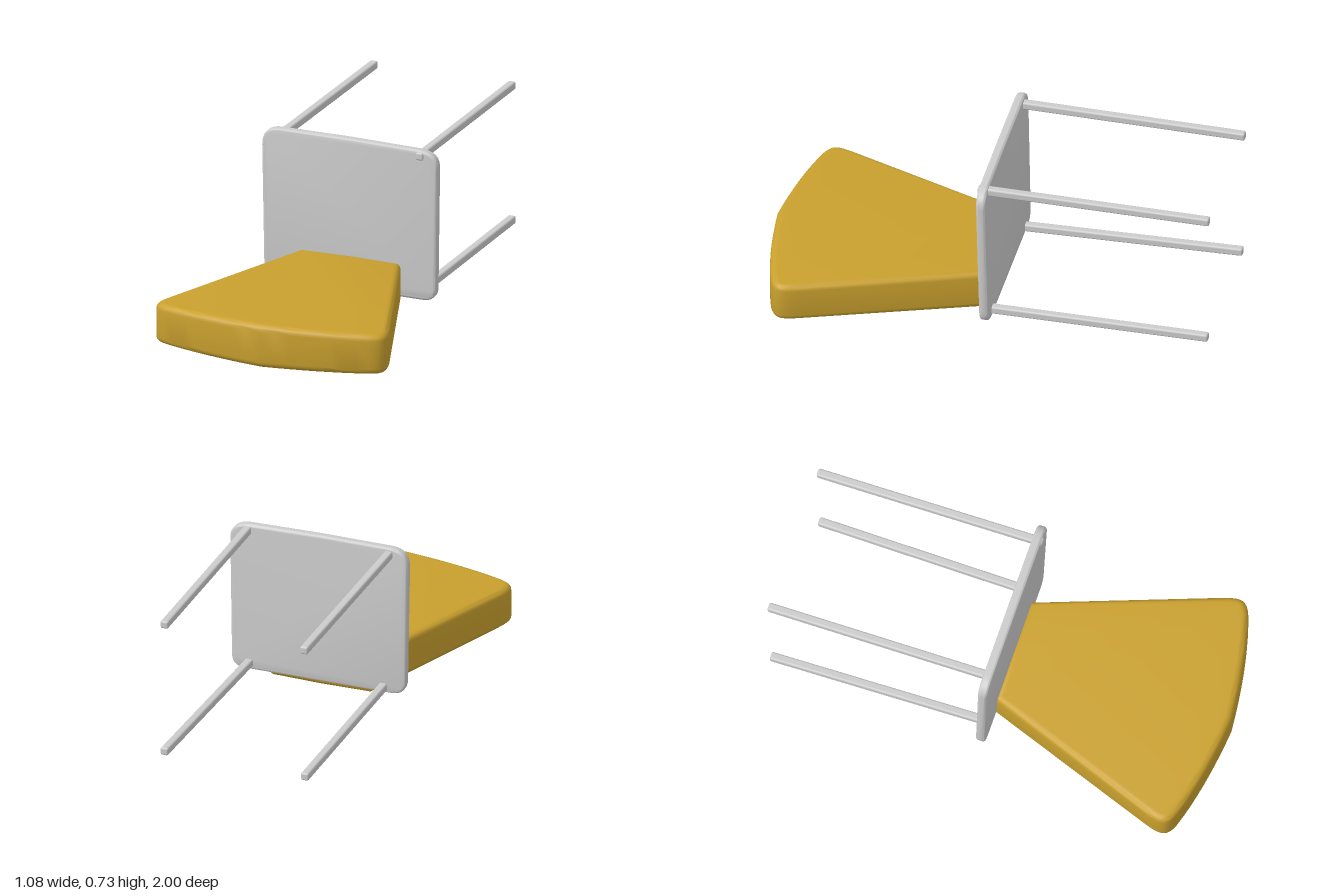
import * as THREE from 'three';
import { toCreasedNormals } from 'three/addons/utils/BufferGeometryUtils.js';
import { RoundedBoxGeometry } from 'three/addons/geometries/RoundedBoxGeometry.js';

const grey = new THREE.MeshStandardMaterial({ color: 0xcccccc });
const yellow = new THREE.MeshStandardMaterial({ color: 0xc9a02e });

// Extrude an outline to a total thickness with rounded edges that stay inside it
function slab(shape, thickness, round) {
  return new THREE.ExtrudeGeometry(shape, {
    depth: thickness - 2 * round, bevelThickness: round, bevelSize: round,
    bevelOffset: -round, bevelSegments: 5, curveSegments: 8,
  }).translate(0, 0, round);
}

function addMesh(group, name, geometry, material) {
  const mesh = new THREE.Mesh(geometry, material);
  mesh.name = name;
  group.add(mesh);
  return mesh;
}

// Fan-shaped cushion, drawn in plan with z as the shape's second axis
function cushionGeometry() {
  const s = new THREE.Shape();
  s.moveTo(-0.235, 0.0);
  s.lineTo(0, 0.0);
  s.lineTo(0.235, 0.0);
  s.lineTo(0.522, 0.78);
  s.bezierCurveTo(0.55, 0.86, 0.545, 0.885, 0.48, 0.91);
  s.quadraticCurveTo(0.28, 0.972, 0, 0.995);
  s.quadraticCurveTo(-0.28, 0.972, -0.48, 0.91);
  s.bezierCurveTo(-0.545, 0.885, -0.55, 0.86, -0.522, 0.78);
  s.closePath();
  const g = slab(s, 0.196, 0.03).rotateX(Math.PI / 2).translate(0, 0.201, 0);
  // Gentle crown: thinner towards the sides
  const p = g.attributes.position;
  for (let i = 0; i < p.count; i++) {
    const k = 1 - 0.16 * Math.abs(p.getX(i));
    p.setY(i, 0.103 + (p.getY(i) - 0.103) * k);
  }
  return toCreasedNormals(g, 0.7);
}

// Upright panel with rounded corners, leaning slightly forward
function panelGeometry() {
  const s = new THREE.Shape();
  s.moveTo(-0.34, 0.045);
  s.lineTo(0.34, 0.04);
  s.quadraticCurveTo(0.402, 0.04, 0.403, 0.1);
  s.lineTo(0.415, 0.65);
  s.quadraticCurveTo(0.418, 0.722, 0.33, 0.728);
  s.lineTo(0, 0.735);
  s.lineTo(-0.33, 0.735);
  s.quadraticCurveTo(-0.41, 0.733, -0.41, 0.65);
  s.lineTo(-0.405, 0.11);
  s.quadraticCurveTo(-0.404, 0.047, -0.34, 0.045);
  const g = slab(s, 0.042, 0.012);
  g.translate(0, -0.39, -0.027).rotateX(0.02).translate(0, 0.39, 0);
  return toCreasedNormals(g, 0.7);
}

export function createModel() {
  const model = new THREE.Group();
  model.name = 'chair';
  addMesh(model, 'cushion', cushionGeometry(), yellow);
  addMesh(model, 'panel', panelGeometry(), grey);

  // Slim legs running backwards, each between two end points
  const legs = [
    ['upperLeftLeg', [0.333, 0.702, 0.028], [0.328, 0.697, -0.995]],
    ['upperRightLeg', [-0.322, 0.704, 0.0], [-0.322, 0.697, -1.0]],
    ['lowerLeftLeg', [0.32, 0.072, -0.01], [0.33, 0.085, -0.99]],
    ['lowerRightLeg', [-0.302, 0.072, -0.01], [-0.322, 0.085, -0.99]],
  ];
  for (const [name, from, to] of legs) {
    const a = new THREE.Vector3(...from), b = new THREE.Vector3(...to);
    const leg = addMesh(model, name,
      new RoundedBoxGeometry(0.036, 0.036, a.distanceTo(b), 3, 0.009), grey);
    leg.position.addVectors(a, b).multiplyScalar(0.5);
    leg.lookAt(a);
  }
  return model;
}
